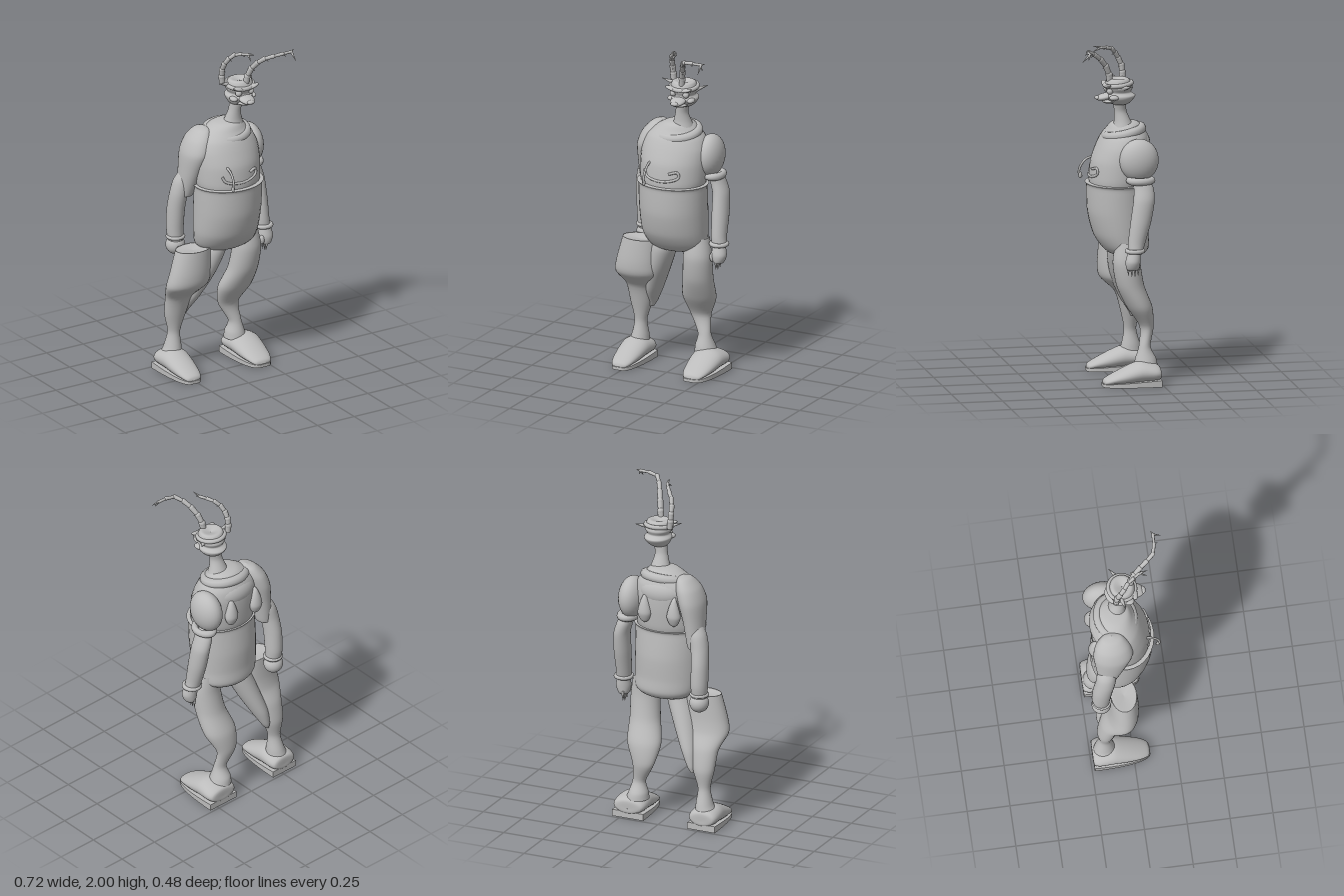
import * as THREE from 'three';

const clay = new THREE.MeshStandardMaterial({ color: 0xbcbcbc });
clay.name = 'clay grey';
const V = (x, y, z) => new THREE.Vector3(x, y, z);

// Smooth skin over horizontal ellipses [x, y, z, rx, rz], listed from the bottom up
function loftGeometry(sections, sides = 32, steps = 6) {
  const mid = new THREE.CatmullRomCurve3(sections.map(s => V(s[0], s[1], s[2])), false, 'catmullrom', 0.4);
  const rad = new THREE.CatmullRomCurve3(sections.map(s => V(s[3], s[4], 0)), false, 'catmullrom', 0.4);
  const rows = (sections.length - 1) * steps, pos = [], idx = [];
  for (let i = 0; i <= rows; i++) {
    const c = mid.getPoint(i / rows), r = rad.getPoint(i / rows);
    for (let j = 0; j < sides; j++) {
      const t = j / sides * Math.PI * 2;
      pos.push(c.x + Math.max(r.x, 0.0005) * Math.cos(t), c.y, c.z + Math.max(r.y, 0.0005) * Math.sin(t));
      if (i === rows) continue;
      const a = i * sides + j, b = i * sides + (j + 1) % sides;
      idx.push(a, a + sides, b, b, a + sides, b + sides);
    }
  }
  const g = new THREE.BufferGeometry();
  g.setAttribute('position', new THREE.Float32BufferAttribute(pos, 3));
  g.setIndex(idx);
  g.computeVertexNormals();
  return g;
}

export function createModel() {
  const model = new THREE.Group();
  model.name = 'hornedFigure';

  const add = (name, geometry, parent = model) => {
    const m = new THREE.Mesh(geometry, clay);
    m.name = name;
    parent.add(m);
    return m;
  };
  const loft = (name, sections) => add(name, loftGeometry(sections));
  const ball = (name, x, y, z, rx, ry = rx, rz = rx) => {
    const m = add(name, new THREE.SphereGeometry(1, 28, 18));
    m.position.set(x, y, z);
    m.scale.set(rx, ry, rz);
    return m;
  };
  const ring = (name, x, y, z, r, tube, sx = 1, sz = 1) => {
    const g = new THREE.TorusGeometry(r, tube, 10, 36).rotateX(Math.PI / 2).scale(sx, 1, sz);
    const m = add(name, g);
    m.position.set(x, y, z);
    return m;
  };
  // Cone or tapered rod between two points
  const rod = (name, a, b, r0, r1, parent = model) => {
    const d = b.clone().sub(a);
    const m = add(name, new THREE.CylinderGeometry(r1, r0, d.length(), 10), parent);
    m.position.copy(a).addScaledVector(d, 0.5);
    m.quaternion.setFromUnitVectors(V(0, 1, 0), d.normalize());
    return m;
  };

  // Belly shell, with the chest seated in its rim
  loft('belly', [
    [0.03, 0.745, -0.08, 0, 0], [0.03, 0.75, -0.08, 0.13, 0.09], [0.035, 0.79, -0.07, 0.185, 0.135],
    [0.03, 0.87, -0.045, 0.2, 0.16], [0.03, 1.0, -0.03, 0.205, 0.178], [0.03, 1.15, -0.02, 0.207, 0.174],
    [0.03, 1.172, -0.02, 0.203, 0.17], [0.03, 1.172, -0.02, 0, 0]]);
  loft('chest', [
    [0.03, 1.15, -0.025, 0.19, 0.16], [0.03, 1.2, -0.03, 0.2, 0.168], [0.03, 1.3, -0.04, 0.204, 0.168],
    [0.03, 1.38, -0.055, 0.2, 0.155], [0.03, 1.44, -0.065, 0.178, 0.137], [0.035, 1.485, -0.07, 0.135, 0.11],
    [0.05, 1.525, -0.065, 0.08, 0.075], [0.06, 1.54, -0.06, 0, 0]]);
  const collar = ring('collar', 0.04, 1.465, -0.06, 0.115, 0.03, 1.05, 0.92);
  collar.rotation.set(0.22, 0, 0.05);
  loft('neck', [
    [0.08, 1.48, -0.055, 0.075, 0.07], [0.08, 1.54, -0.045, 0.052, 0.048],
    [0.082, 1.6, -0.032, 0.037, 0.036], [0.095, 1.67, -0.025, 0.042, 0.04]]);

  // Smile ridge and hook on the chest
  const smile = [[-0.09, 1.26], [-0.07, 1.225], [0, 1.21], [0.08, 1.215], [0.135, 1.24], [0.13, 1.27], [0.08, 1.26]]
    .map(([x, y]) => V(x, y, -0.032 + 0.169 * Math.sqrt(1 - ((x - 0.03) / 0.205) ** 2)));
  add('smileRidge', new THREE.TubeGeometry(new THREE.CatmullRomCurve3(smile), 40, 0.008, 8));
  const hook = [V(-0.055, 1.31, 0.1), V(-0.055, 1.29, 0.145), V(-0.056, 1.25, 0.175), V(-0.058, 1.21, 0.182), V(-0.058, 1.19, 0.165)];
  add('chestHook', new THREE.TubeGeometry(new THREE.CatmullRomCurve3(hook), 24, 0.007, 8));
  ball('hookTip', -0.058, 1.2, 0.175, 0.009, 0.02, 0.011);

  // Teardrop pods on the back
  for (const x of [0.11, -0.076]) {
    loft('backPod', [
      [x, 1.22, -0.2, 0, 0], [x, 1.235, -0.2, 0.025, 0.018], [x, 1.28, -0.2, 0.042, 0.034],
      [x, 1.335, -0.2, 0.03, 0.026], [x, 1.38, -0.195, 0.014, 0.014], [x, 1.4, -0.18, 0, 0]]);
  }
  ball('shoulderBlade', 0.03, 1.4, -0.13, 0.14, 0.09, 0.085);

  // Left arm: round shoulder, cuff, forearm, clawed hand
  ball('leftShoulder', 0.228, 1.33, -0.113, 0.076, 0.125, 0.115);
  ring('leftSleeveCuff', 0.25, 1.215, -0.118, 0.056, 0.022, 0.85, 1.1);
  loft('leftForearm', [
    [0.303, 0.8, -0.075, 0.045, 0.042], [0.297, 0.86, -0.085, 0.045, 0.05], [0.293, 0.98, -0.11, 0.049, 0.06],
    [0.287, 1.1, -0.13, 0.047, 0.062], [0.268, 1.17, -0.132, 0.045, 0.058], [0.25, 1.23, -0.12, 0.04, 0.05]]);
  ring('leftWristCuff', 0.303, 0.812, -0.073, 0.046, 0.013);
  loft('leftHand', [
    [0.308, 0.695, -0.06, 0, 0], [0.308, 0.705, -0.06, 0.03, 0.035], [0.31, 0.75, -0.06, 0.045, 0.043], [0.305, 0.81, -0.07, 0.036, 0.036]]);
  for (let i = 0; i < 4; i++) {
    const z = -0.03 - i * 0.021;
    rod('leftFinger', V(0.302, 0.725, z), V(0.3, 0.655 + Math.abs(i - 1.5) * 0.006, z - 0.008 + i * 0.003), 0.011, 0.001);
  }
  ball('leftThumb', 0.275, 0.735, -0.04, 0.015, 0.028, 0.015);

  // Right arm: swept back, ending in a ball hand
  loft('rightUpperArm', [
    [-0.19, 1.09, -0.14, 0.045, 0.05], [-0.185, 1.12, -0.135, 0.05, 0.058], [-0.17, 1.25, -0.115, 0.062, 0.09],
    [-0.15, 1.36, -0.1, 0.075, 0.115], [-0.125, 1.44, -0.1, 0.068, 0.1], [-0.1, 1.495, -0.1, 0.04, 0.06], [-0.09, 1.51, -0.1, 0, 0]]);
  loft('rightForearm', [
    [-0.23, 0.8, -0.178, 0.045, 0.045], [-0.232, 0.88, -0.182, 0.05, 0.054], [-0.231, 1.0, -0.172, 0.051, 0.058],
    [-0.222, 1.1, -0.155, 0.052, 0.058], [-0.205, 1.18, -0.145, 0.05, 0.055], [-0.185, 1.25, -0.13, 0.03, 0.035]]);
  ring('rightWristCuff', -0.23, 0.822, -0.178, 0.046, 0.011);
  ball('rightBallHand', -0.23, 0.77, -0.18, 0.057);

  // Left leg
  loft('leftLeg', [
    [0.17, 0.11, -0.165, 0.068, 0.068], [0.165, 0.15, -0.165, 0.058, 0.06], [0.162, 0.22, -0.16, 0.04, 0.034],
    [0.13, 0.33, -0.177, 0.066, 0.04], [0.144, 0.45, -0.132, 0.104, 0.074], [0.165, 0.58, -0.075, 0.092, 0.08],
    [0.175, 0.72, -0.05, 0.086, 0.08], [0.17, 0.84, -0.06, 0.07, 0.07]]);

  // Right thigh and the separate wide-topped lower leg
  loft('rightThigh', [
    [-0.185, 0.33, -0.17, 0.012, 0.02], [-0.175, 0.37, -0.165, 0.028, 0.035], [-0.15, 0.46, -0.135, 0.05, 0.065],
    [-0.1, 0.6, -0.09, 0.068, 0.08], [-0.05, 0.74, -0.06, 0.075, 0.078], [-0.03, 0.83, -0.06, 0.06, 0.065]]);
  loft('rightLowerLeg', [
    [-0.265, 0.11, -0.165, 0.06, 0.066], [-0.258, 0.15, -0.165, 0.05, 0.055], [-0.253, 0.24, -0.16, 0.037, 0.036],
    [-0.247, 0.35, -0.155, 0.066, 0.052], [-0.238, 0.47, -0.125, 0.088, 0.06], [-0.225, 0.56, -0.06, 0.134, 0.085],
    [-0.215, 0.64, -0.045, 0.13, 0.085], [-0.195, 0.775, -0.045, 0.112, 0.078], [-0.195, 0.782, -0.045, 0.108, 0.074],
    [-0.195, 0.782, -0.045, 0.095, 0.06], [-0.195, 0.772, -0.045, 0, 0]]);

  // Shoes: a wedge upper on a flat sole, blunt at the heel
  for (const [side, x, w] of [['right', -0.268, 0.088], ['left', 0.203, 0.1]]) {
    const upper = loftGeometry([[-0.238, 0.06, 0, 0], [-0.236, 0.07, 0.8, 0.038], [-0.2, 0.075, 1, 0.052], [-0.12, 0.078, 0.98, 0.062],
      [-0.04, 0.06, 0.9, 0.05], [0.04, 0.04, 0.74, 0.03], [0.085, 0.026, 0.5, 0.018], [0.096, 0.022, 0, 0]]
      .map(([z, y, k, h]) => [0, z, -y, w * k, h]), 32, 4).rotateX(Math.PI / 2);
    add(side + 'Shoe', upper).position.x = x;
    const s = new THREE.Shape();
    s.moveTo(-w, 0.235);
    s.lineTo(w, 0.235);
    s.bezierCurveTo(w * 1.02, 0.08, w * 0.85, -0.092, w * 0.3, -0.097);
    s.lineTo(-w * 0.3, -0.097);
    s.bezierCurveTo(-w * 0.85, -0.092, -w * 1.02, 0.08, -w, 0.235);
    const sole = new THREE.ExtrudeGeometry(s, { depth: 0.04, bevelEnabled: false, curveSegments: 16 }).rotateX(-Math.PI / 2);
    // thin the sole towards the toe
    const p = sole.attributes.position;
    for (let i = 0; i < p.count; i++) if (p.getY(i) > 0.02) p.setY(i, 0.04 - 0.022 * (p.getZ(i) + 0.24) / 0.34);
    sole.computeVertexNormals();
    add(side + 'Sole', sole).position.x = x;
  }

  // Head with jaw, banded skull, snout and brow
  loft('head', [
    [0.1, 1.635, -0.025, 0, 0], [0.1, 1.645, -0.025, 0.05, 0.05], [0.105, 1.675, -0.025, 0.075, 0.08],
    [0.105, 1.695, -0.025, 0.08, 0.09], [0.105, 1.715, -0.02, 0.066, 0.07], [0.105, 1.74, -0.02, 0.08, 0.08],
    [0.105, 1.765, -0.015, 0.078, 0.076], [0.105, 1.79, -0.015, 0.068, 0.064], [0.105, 1.795, -0.015, 0.05, 0.045], [0.105, 1.78, -0.015, 0, 0]]);
  ring('headBand', 0.105, 1.762, -0.015, 0.078, 0.013).rotation.x = 0.1;
  ball('snout', 0.105, 1.69, 0.06, 0.045, 0.02, 0.058).rotation.x = 0.2;
  ball('lowerJaw', 0.105, 1.662, 0.035, 0.045, 0.014, 0.045);
  ball('noseTip', 0.105, 1.685, 0.108, 0.024, 0.012, 0.016);
  for (const s of [-1, 1]) {
    ball('eye', 0.105 + s * 0.042, 1.727, 0.042, 0.019);
    const brow = ball('brow', 0.105 + s * 0.045, 1.757, 0.055, 0.042, 0.011, 0.018);
    brow.rotation.z = s * 0.25;
    ball('cheek', 0.105 + s * 0.062, 1.69, 0.02, 0.023, 0.015, 0.03);
  }
  rod('leftEar', V(0.16, 1.74, -0.015), V(0.228, 1.765, -0.075), 0.02, 0.001);
  rod('rightEar', V(0.05, 1.76, -0.03), V(-0.038, 1.79, -0.01), 0.017, 0.001);

  // Jointed horns ending in small claws
  const horn = (name, points, tips) => {
    const g = new THREE.Group();
    g.name = name;
    model.add(g);
    const curve = new THREE.CatmullRomCurve3(points), n = 7;
    for (let i = 0; i < n; i++) {
      const a = curve.getPointAt(i / n), b = curve.getPointAt((i + 1) / n), r = 0.021 - i * 0.0019;
      rod('hornSegment', a, b, r * 0.8, r * 0.95, g);
      const knot = add('hornKnot', new THREE.SphereGeometry(r * 0.98, 12, 8), g);
      knot.position.copy(b);
      if (i % 2) rod('hornThorn', b, b.clone().add(V(0.012, -0.012, 0.022)), 0.006, 0.001, g);
    }
    const end = points[points.length - 1];
    for (const t of tips) rod('hornClaw', end, end.clone().add(V(...t)), 0.008, 0.001, g);
  };
  horn('rightHorn', [V(0.015, 1.765, -0.06), V(0.01, 1.85, -0.055), V(0.022, 1.92, -0.02), V(0.055, 1.962, 0.015), V(0.1, 1.978, 0.085)],
    [[0.01, 0.012, 0.05], [-0.008, -0.025, 0.045], [0.01, 0.01, 0.025]]);
  horn('leftHorn', [V(0.115, 1.765, 0.035), V(0.128, 1.85, 0.05), V(0.165, 1.935, 0.115), V(0.215, 1.978, 0.185), V(0.325, 1.985, 0.197)],
    [[0.005, -0.045, 0.045], [0.022, 0.006, -0.012], [0.015, -0.03, 0.01]]);

  return model;
}
